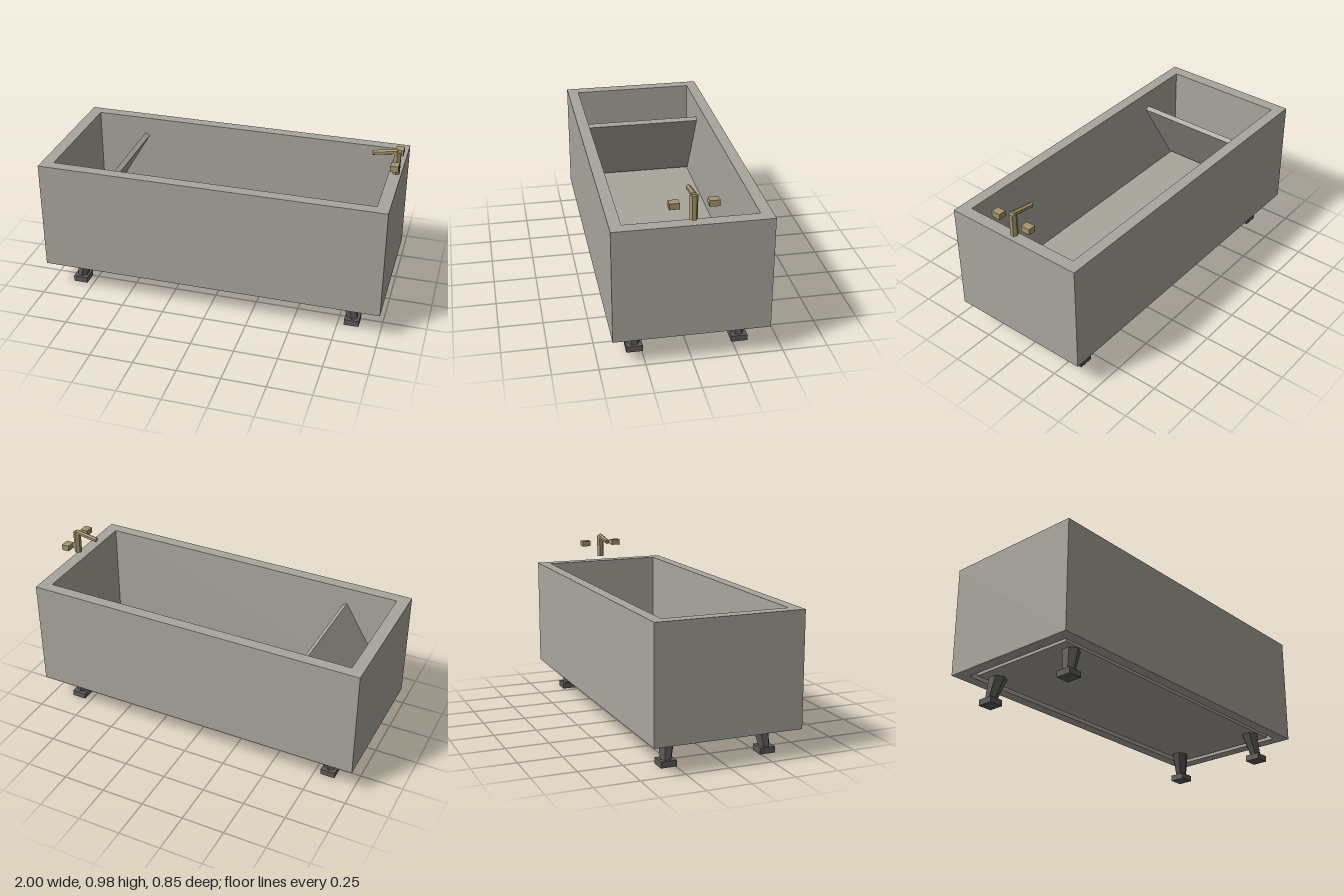
import * as THREE from 'three';

export function createModel() {
  const model = new THREE.Group();
  const mat = (name, color) => {
    const m = new THREE.MeshStandardMaterial({ color, flatShading: true });
    m.name = name;
    return m;
  };
  const stone = mat('warm grey stone', 0xa9a69d);
  const iron = mat('dark iron', 0x5c5a57);
  const brass = mat('aged brass', 0xa3946b);

  const add = (name, geometry, material, x, y, z, parent = model) => {
    const mesh = new THREE.Mesh(geometry, material);
    mesh.name = name;
    mesh.position.set(x, y, z);
    parent.add(mesh);
    return mesh;
  };
  const box = (w, h, d) => new THREE.BoxGeometry(w, h, d);
  const rectangle = (Type, a, b) => new Type([
    new THREE.Vector2(-a, -b), new THREE.Vector2(a, -b),
    new THREE.Vector2(a, b), new THREE.Vector2(-a, b),
  ]);

  // Walls: one rectangular ring raised upward
  const ring = rectangle(THREE.Shape, 1, 0.425);
  ring.holes.push(rectangle(THREE.Path, 0.93, 0.36));
  const walls = new THREE.ExtrudeGeometry(ring, { depth: 0.65, bevelEnabled: false });
  walls.rotateX(-Math.PI / 2);
  add('tubWalls', walls, stone, 0, 0.16, 0);

  // Basin floor, with a smaller base plate leaving a groove underneath
  add('basinFloor', box(1.86, 0.03, 0.72), stone, 0, 0.215, 0);
  add('basePlate', box(1.8, 0.037, 0.66), stone, 0, 0.1835, 0);

  // Leaning backrest slab
  const backrest = add('backrest', box(0.03, 0.525, 0.72), stone, -0.757, 0.475, 0);
  backrest.rotation.z = -0.54;

  // Four splayed hexagonal legs on square feet
  for (const sx of [-1, 1]) {
    for (const sz of [-1, 1]) {
      const leg = new THREE.Group();
      leg.name = 'leg';
      leg.position.set(sx * 0.83, 0, sz * 0.29);
      model.add(leg);
      add('foot', box(0.085, 0.035, 0.09), iron, 0, 0.0175, 0, leg);
      // Shear the shank so its top leans inward
      const shank = new THREE.CylinderGeometry(0.052, 0.032, 0.145, 6);
      shank.translate(0, 0.0725, 0);
      shank.applyMatrix4(new THREE.Matrix4().set(
        1, -sx * 0.22, 0, 0,
        0, 1, 0, 0,
        0, -sz * 0.12, 1, 0,
        0, 0, 0, 1));
      add('shank', shank, iron, 0, 0.03, 0, leg);
    }
  }

  // Tap: post, tilted spout and two block handles
  const tap = new THREE.Group();
  tap.name = 'tap';
  model.add(tap);
  add('tapPost', new THREE.CylinderGeometry(0.022, 0.022, 0.135, 6), brass, 0.976, 0.9025, 0, tap);
  const spout = new THREE.CylinderGeometry(0.015, 0.015, 0.14, 6);
  spout.rotateY(Math.PI / 2);
  spout.rotateZ(Math.PI / 2 + 0.17);
  add('spout', spout, brass, 0.908, 0.958, 0, tap);
  for (const side of [-1, 1]) {
    add('handle', box(0.045, 0.034, 0.055), brass, 0.9775, 0.9235, side * 0.1025, tap);
  }

  return model;
}
